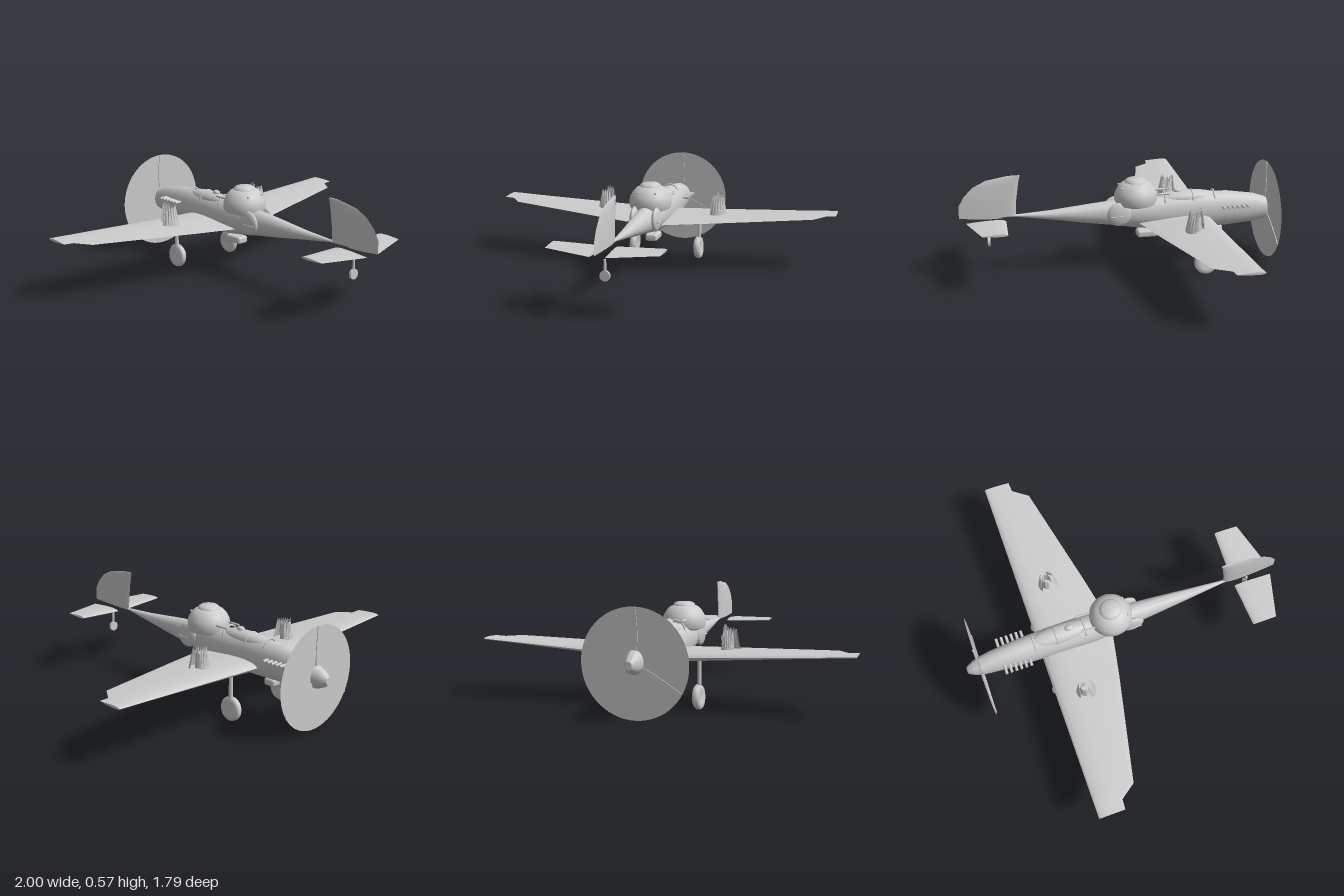
import * as THREE from 'three';
import { toCreasedNormals } from 'three/addons/utils/BufferGeometryUtils.js';
import { RoundedBoxGeometry } from 'three/addons/geometries/RoundedBoxGeometry.js';

const mat = new THREE.MeshStandardMaterial({ color: 0xcccccc });
const thin = new THREE.MeshStandardMaterial({ color: 0xcccccc, side: THREE.DoubleSide });

// Skin a list of closed rings, capped at both ends
function loft(rings, crease = 0.6) {
  const n = rings[0].length, pos = [], idx = [];
  for (const r of rings) for (const p of r) pos.push(...p);
  for (let s = 0; s < rings.length - 1; s++)
    for (let j = 0; j < n; j++) {
      const a = s * n + j, b = s * n + (j + 1) % n;
      idx.push(a, b, a + n, b, b + n, a + n);
    }
  const last = (rings.length - 1) * n;
  for (let j = 1; j < n - 1; j++) {
    idx.push(0, j + 1, j);
    idx.push(last, last + j, last + j + 1);
  }
  const g = new THREE.BufferGeometry();
  g.setAttribute('position', new THREE.Float32BufferAttribute(pos, 3));
  g.setIndex(idx);
  return toCreasedNormals(g, crease);
}

// Teardrop section: returns [offset across, z] pairs from leading to trailing edge
function foil(le, te, thick, n = 20) {
  return Array.from({ length: n }, (_, i) => {
    const t = (i / n) * Math.PI * 2, u = (1 + Math.sin(t)) / 2;
    return [Math.cos(t) * thick * 0.62 * (1.25 - u), le + (te - le) * u];
  });
}

export function createModel() {
  const model = new THREE.Group();
  const add = (name, geo, x = 0, y = 0, z = 0, parent = model, m = mat) => {
    const mesh = new THREE.Mesh(geo, m);
    mesh.name = name;
    mesh.position.set(x, y, z);
    parent.add(mesh);
    return mesh;
  };

  // Fuselage: [z, half width, bottom, top]
  const body = [
    [-0.82, 0.05, 0.235, 0.362], [-0.75, 0.057, 0.222, 0.385], [-0.6, 0.068, 0.21, 0.408],
    [-0.42, 0.075, 0.206, 0.415], [-0.2, 0.077, 0.212, 0.408], [-0.08, 0.072, 0.228, 0.4],
    [0.05, 0.057, 0.25, 0.392], [0.2, 0.044, 0.272, 0.378], [0.4, 0.026, 0.305, 0.357],
    [0.58, 0.009, 0.332, 0.346], [0.7, 0.004, 0.335, 0.345],
  ];
  const oval = ([z, w, lo, hi]) => Array.from({ length: 32 }, (_, i) => {
    const t = (i / 32) * Math.PI * 2;
    return [w * Math.cos(t), (lo + hi) / 2 + (hi - lo) / 2 * Math.sin(t), z];
  });
  add('fuselage', loft(body.map(oval)));
  add('spinner', loft([[-0.9, 0.016, 0.272, 0.312], [-0.888, 0.026, 0.26, 0.325],
    [-0.86, 0.038, 0.246, 0.345], [-0.82, 0.05, 0.235, 0.362]].map(oval)));

  // Main wing with dihedral and cut tips: [x, leading z, trailing z, thickness]
  const half = [[0, -0.49, -0.07, 0.062], [0.3, -0.49, -0.13, 0.044], [0.885, -0.49, -0.26, 0.018],
    [0.945, -0.49, -0.343, 0.015], [1, -0.49, -0.347, 0.012]];
  const span = [...half.slice(1).reverse().map(([x, ...r]) => [-x, ...r]), ...half];
  add('wing', loft(span.map(([x, le, te, th]) =>
    foil(le, te, th).map(([h, z]) => [x, 0.266 + 0.054 * Math.abs(x) + h, z]))));

  // Tailplanes
  for (const s of [-1, 1]) {
    const secs = [[0.04, 0.645, 0.86, 0.02], [0.29, 0.655, 0.79, 0.012]].map(([x, ...r]) => [s * x, ...r]);
    if (s < 0) secs.reverse();
    add('tailplane', loft(secs.map(([x, le, te, th]) =>
      foil(le, te, th).map(([h, z]) => [x, 0.322 + 0.04 * Math.abs(x) + h, z]))));
  }

  // Fin: [y, front z, back z, thickness]
  const fin = [[0.34, 0.59, 0.895, 0.026], [0.41, 0.587, 0.893, 0.025], [0.46, 0.58, 0.865, 0.022],
    [0.51, 0.573, 0.815, 0.018], [0.545, 0.566, 0.745, 0.014], [0.565, 0.561, 0.63, 0.008]];
  add('fin', loft(fin.map(([y, le, te, th]) =>
    foil(le, te, th).map(([h, z]) => [-h, y, z]).reverse().map(([x, yy, z]) => [x, yy, z]).map(p => [-p[0], p[1], p[2]]))));

  // Propeller disc and three blades
  const prop = new THREE.Group();
  prop.name = 'propeller';
  prop.position.set(0, 0.29, -0.826);
  model.add(prop);
  add('propellerDisc', new THREE.CircleGeometry(0.276, 64), 0, 0, 0, prop, thin);
  const bladeShape = new THREE.Shape();
  bladeShape.moveTo(-0.008, 0.03);
  bladeShape.bezierCurveTo(-0.022, 0.1, -0.02, 0.2, -0.006, 0.274);
  bladeShape.lineTo(0.006, 0.274);
  bladeShape.bezierCurveTo(0.014, 0.2, 0.016, 0.1, 0.008, 0.03);
  const bladeGeo = new THREE.ExtrudeGeometry(bladeShape, { depth: 0.008, bevelEnabled: false });
  for (let i = 0; i < 3; i++)
    add('propellerBlade', bladeGeo, 0, 0, -0.004, prop).rotation.z = (i * Math.PI * 2) / 3;

  // Dorsal turret with cap
  const dome = [[0, 0.36], [0.085, 0.362], [0.111, 0.372], [0.117, 0.39], [0.117, 0.42], [0.111, 0.44],
    [0.097, 0.465], [0.078, 0.485], [0.06, 0.493], [0.058, 0.5], [0.045, 0.51], [0, 0.514]]
    .map(p => new THREE.Vector2(...p));
  add('turret', toCreasedNormals(new THREE.LatheGeometry(dome, 40), 0.7), 0, 0, -0.072);
  for (const s of [-1, 1]) {
    add('turretGun', new THREE.CylinderGeometry(0.006, 0.006, 0.1, 10).rotateX(Math.PI / 2), s * 0.045, 0.425, -0.205);
    add('turretRivet', new THREE.SphereGeometry(0.007, 10, 8), s * 0.05, 0.468, 0.012);
  }

  // Canopy with frames and a top knob
  add('canopy', new THREE.SphereGeometry(1, 28, 16).scale(0.052, 0.045, 0.19), 0, 0.383, -0.36);
  for (const [z, r] of [[-0.515, 0.046], [-0.39, 0.053], [-0.23, 0.055]])
    add('canopyFrame', new THREE.TorusGeometry(r, 0.005, 8, 24, Math.PI), 0, 0.374, z);
  add('canopyKnob', new THREE.SphereGeometry(1, 16, 12).scale(0.018, 0.016, 0.025), 0, 0.427, -0.31);

  // Belly fairings
  add('rearBellyFairing', new RoundedBoxGeometry(0.07, 0.042, 0.115, 3, 0.014), 0, 0.193, -0.137);
  add('frontBellyFairing', new RoundedBoxGeometry(0.06, 0.042, 0.07, 3, 0.014), 0, 0.193, -0.537);

  // Mirrored side parts
  const wheelProfile = [[0, -0.012], [0.03, -0.014], [0.036, -0.018], [0.056, -0.018], [0.065, -0.008],
    [0.065, 0.008], [0.056, 0.018], [0.036, 0.018], [0.03, 0.014], [0, 0.012]].map(p => new THREE.Vector2(...p));
  const wheelGeo = new THREE.LatheGeometry(wheelProfile, 32).rotateZ(Math.PI / 2);
  for (const s of [-1, 1]) {
    // Exhaust stubs
    for (let i = 0; i < 6; i++)
      add('exhaust', new THREE.CylinderGeometry(0.008, 0.008, 0.055, 12).rotateZ(Math.PI / 2), s * 0.077, 0.335, -0.7 + i * 0.028);

    // Side blister with a short gun
    add('sideBlister', new THREE.SphereGeometry(1, 28, 18).scale(0.022, 0.067, 0.067), s * 0.062, 0.328, 0.03);
    add('sideGun', new THREE.CylinderGeometry(0.004, 0.004, 0.07, 8).rotateX(Math.PI / 2), s * 0.082, 0.32, 0.045);

    // Main landing gear
    const gear = new THREE.Group();
    gear.name = 'mainGear';
    gear.position.set(s * 0.197, 0, -0.43);
    model.add(gear);
    add('wheel', wheelGeo, 0, 0.066, 0, gear).rotation.z = s * 0.06;
    add('gearStrut', new THREE.CylinderGeometry(0.011, 0.011, 0.19, 14), s * 0.004, 0.175, 0, gear);

    // Torn open shells standing on the wing: [radius low, radius high, start, sweep, height]
    const plume = new THREE.Group();
    plume.name = 'wingPlume';
    plume.position.set(s * 0.328, 0.285, -0.335);
    plume.scale.x = s;
    model.add(plume);
    for (const [r0, r1, a, w, h] of [[0.064, 0.038, -0.6, 1.9, 0.13], [0.05, 0.03, 2.4, 1.5, 0.14], [0.03, 0.022, 0, 5, 0.12]]) {
      const g = new THREE.CylinderGeometry(r1, r0, h, 12, 1, true, a, w);
      const p = g.attributes.position;
      for (let i = 0; i < p.count; i++)
        if (p.getY(i) > 0 && i % 2) p.setY(i, p.getY(i) - 0.025);
      add('tornShell', toCreasedNormals(g, 0.4), 0, h / 2, 0, plume, thin);
    }
  }

  // Tail wheel
  add('tailWheel', new THREE.CylinderGeometry(0.027, 0.027, 0.014, 24).rotateX(Math.PI / 2), 0, 0.2, 0.74);
  add('tailStrut', new THREE.CylinderGeometry(0.007, 0.007, 0.06, 12), 0, 0.253, 0.74);

  return model;
}
